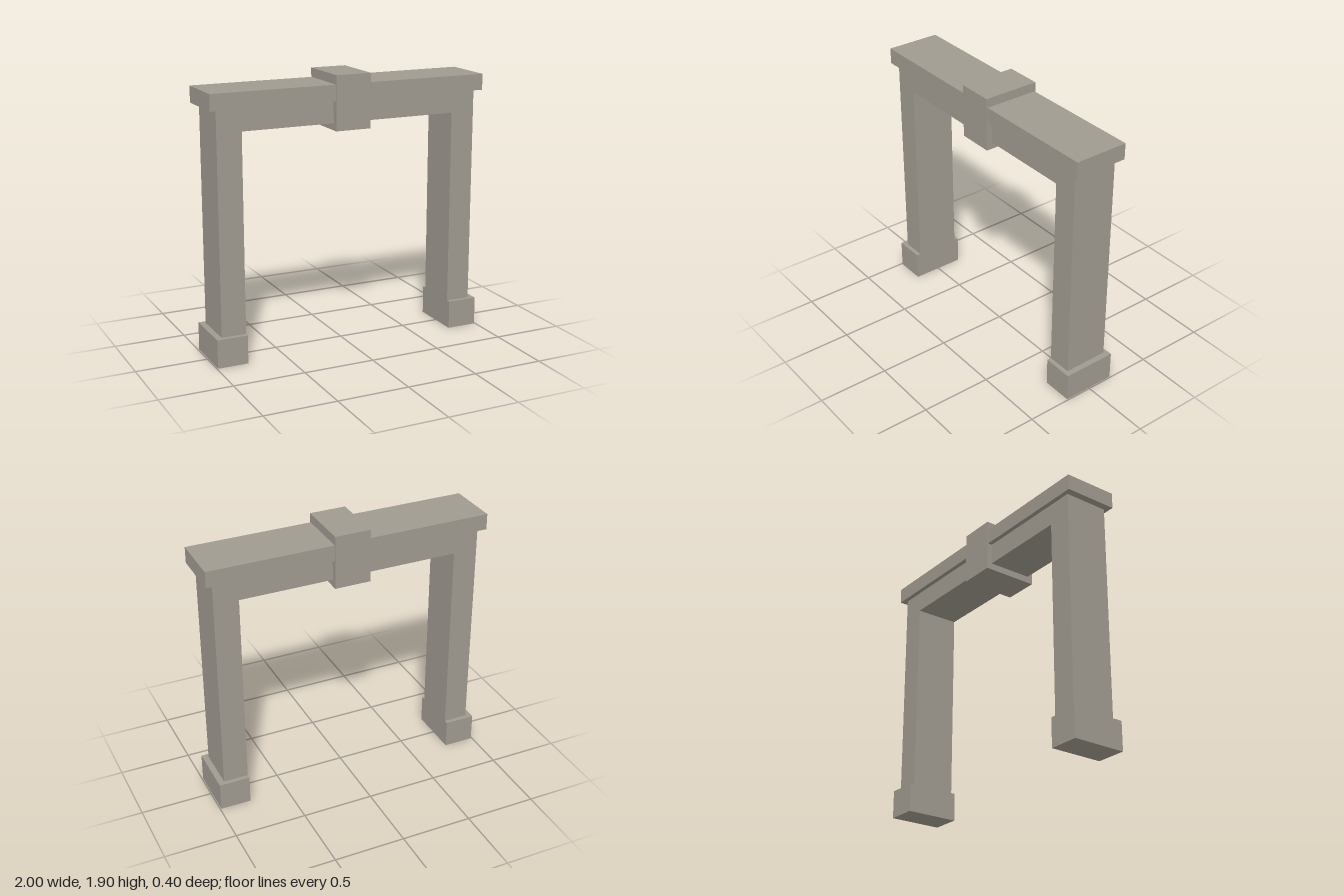
import * as THREE from 'three';

export function createModel() {
  const group = new THREE.Group();
  const stone = new THREE.MeshStandardMaterial({ color: 0xa09a90 });
  stone.name = 'stone';

  const add = (name, geometry, x = 0, y = 0, z = 0) => {
    const mesh = new THREE.Mesh(geometry, stone);
    mesh.name = name;
    mesh.position.set(x, y, z);
    group.add(mesh);
  };
  // Box given by its centre x, bottom, top, width and depth
  const block = (name, x, bottom, top, width, depth) =>
    add(name, new THREE.BoxGeometry(width, top - bottom, depth), x, (bottom + top) / 2, 0);

  const inner = 0.777, outer = 0.95, baseTop = 0.2, lintelBottom = 1.575, lintelTop = 1.725;

  // Two posts and the lintel in one piece
  const outline = new THREE.Shape([
    [-outer, baseTop], [-inner, baseTop], [-inner, lintelBottom], [inner, lintelBottom],
    [inner, baseTop], [outer, baseTop], [outer, lintelTop], [-outer, lintelTop],
  ].map(([x, y]) => new THREE.Vector2(x, y)));
  const depth = 0.318;
  add('frame', new THREE.ExtrudeGeometry(outline, { depth, bevelEnabled: false }), 0, 0, -depth / 2);

  // Plinths, flush with the inside of the opening
  const plinthOuter = 0.992;
  for (const [name, side] of [['leftPlinth', 1], ['rightPlinth', -1]]) {
    block(name, side * (inner + plinthOuter) / 2, 0, baseTop, plinthOuter - inner, 0.38);
  }

  // Overhanging cornice and the keystone wrapped around the middle
  block('cornice', 0, lintelTop, 1.837, 2, 0.382);
  block('keystone', 0, 1.527, 1.9, 0.254, 0.397);

  return group;
}
